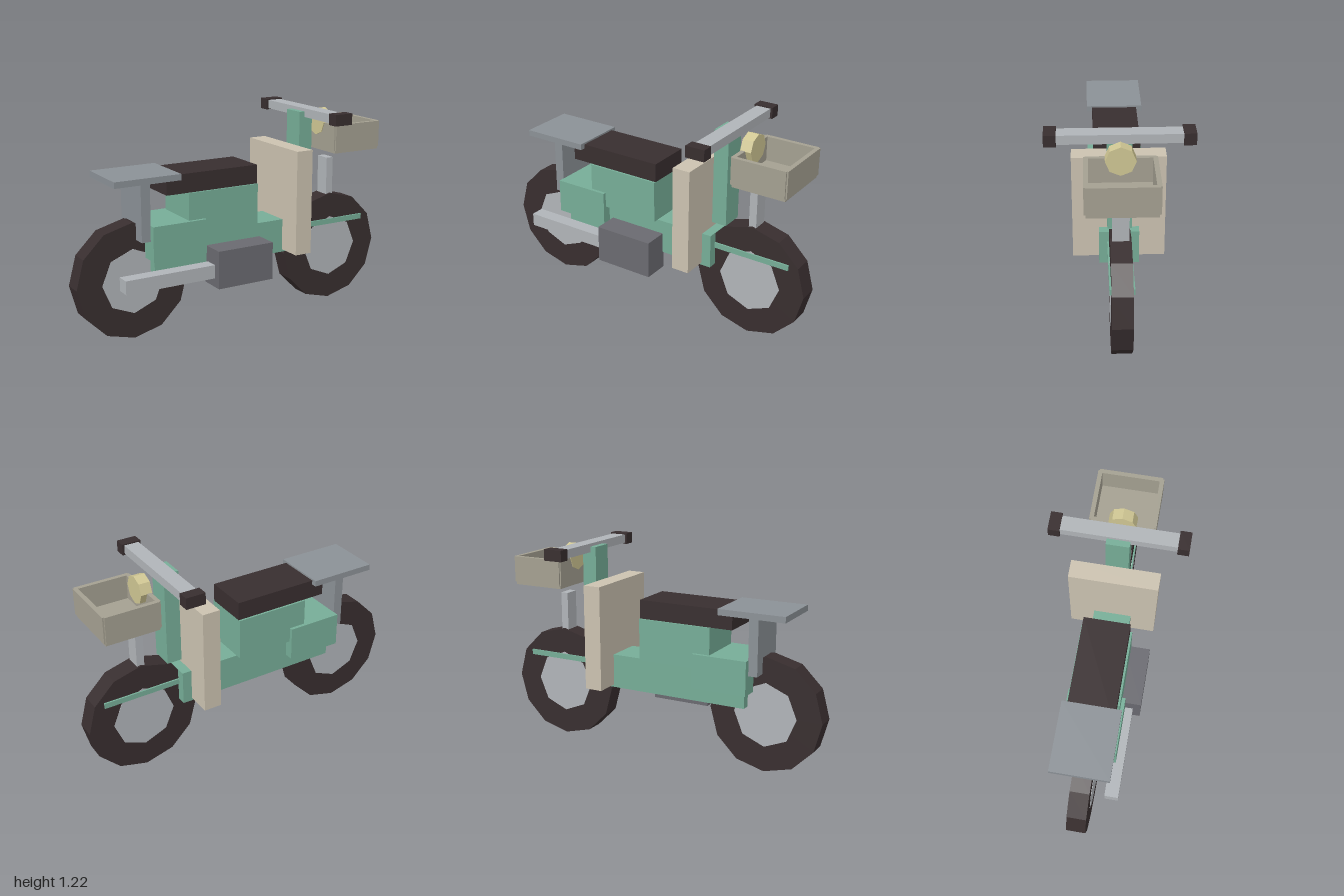
import * as THREE from 'three';

const mat = (name, color) => {
  const m = new THREE.MeshStandardMaterial({ color });
  m.name = name;
  return m;
};

export function createModel() {
  const group = new THREE.Group();
  const green = mat('green paint', 0x76ad97);
  const black = mat('black rubber', 0x382e2f);
  const silver = mat('light silver', 0xb0b4b8);
  const steel = mat('rack steel', 0x8b9196);
  const iron = mat('dark iron', 0x6a6a70);
  const cream = mat('cream panel', 0xcbc2b0);
  const glass = mat('lamp yellow', 0xcfc693);
  const wicker = mat('basket wicker', 0xa4a091);

  const add = (name, geometry, material, parent = group) => {
    const mesh = new THREE.Mesh(geometry, material);
    mesh.name = name;
    parent.add(mesh);
    return mesh;
  };
  // Box given by its limits on each axis
  const box = (name, material, [x0, x1], [y0, y1], [z0, z1], parent = group) => {
    const mesh = add(name, new THREE.BoxGeometry(x1 - x0, y1 - y0, z1 - z0), material, parent);
    mesh.position.set((x0 + x1) / 2, (y0 + y1) / 2, (z0 + z1) / 2);
    return mesh;
  };
  // Faceted disc with a corner on the +x axis, turned to lie along z
  const disc = (radius, width, sides) =>
    new THREE.CylinderGeometry(radius, radius, width, sides).toNonIndexed()
      .rotateY(Math.PI / 2).rotateX(Math.PI / 2);
  const flat = (geometry) => { geometry.computeVertexNormals(); return geometry; };

  // Wheels
  for (const [name, x] of [['rearWheel', -0.665], ['frontWheel', 0.665]]) {
    const wheel = new THREE.Group();
    wheel.name = name;
    wheel.position.set(x, 0.335, 0);
    add('tyre', flat(disc(0.335, 0.112, 12)), black, wheel);
    add('hub', flat(disc(0.187, 0.116, 8)), silver, wheel);
    group.add(wheel);
  }

  // Body
  box('floorBody', green, [-0.56, 0.44], [0.37, 0.57], [-0.11, 0.11]);
  box('rearCowl', green, [-0.59, -0.26], [0.46, 0.66], [-0.165, 0.165]);
  box('seatBase', green, [-0.36, 0.085], [0.57, 0.816], [-0.145, 0.145]);
  box('seat', black, [-0.49, 0.086], [0.816, 0.925], [-0.133, 0.133]);
  box('legShield', cream, [0.28, 0.385], [0.385, 1.0], [-0.255, 0.255]);
  box('frontFender', green, [0.43, 0.9], [0.478, 0.51], [-0.066, 0.066]);

  // Luggage rack
  box('rackSupport', steel, [-0.643, -0.588], [0.57, 0.9], [-0.13, 0.13]);
  box('rack', steel, [-0.81, -0.415], [0.9, 0.935], [-0.165, 0.165]);

  // Engine and exhaust on the +z side
  box('engine', iron, [-0.235, 0.12], [0.27, 0.49], [0.1, 0.255]);
  box('exhaust', silver, [-0.78, -0.2], [0.322, 0.4], [0.13, 0.21]);

  // Steering
  box('steeringColumn', green, [0.42, 0.508], [0.635, 1.19], [-0.066, 0.066]);
  box('fork', silver, [0.64, 0.685], [0.4, 0.89], [-0.045, 0.045]);
  box('handlebar', silver, [0.455, 0.542], [1.157, 1.208], [-0.33, 0.33]);
  for (const s of [-1, 1]) {
    const grip = box('grip', black, [0.442, 0.555], [1.15, 1.215], [-0.0325, 0.0325]);
    grip.position.z = s * 0.3575;
  }

  // Headlight facing +x
  const lamp = add('headlight', flat(disc(0.08, 0.065, 8).rotateY(Math.PI / 2)), glass);
  lamp.position.set(0.618, 1.112, 0);

  // Open basket
  const basket = new THREE.Group();
  basket.name = 'basket';
  group.add(basket);
  box('basketFloor', wicker, [0.598, 0.913], [0.943, 0.975], [-0.18, 0.18], basket);
  for (const s of [-1, 1]) {
    const side = box('basketSide', wicker, [0.598, 0.913], [0.96, 1.114], [-0.0125, 0.0125], basket);
    side.position.z = s * 0.177;
    const end = box('basketEnd', wicker, [-0.0125, 0.0125], [0.96, 1.114], [-0.181, 0.181], basket);
    end.position.x = 0.756 + s * 0.153;
  }
  return group;
}
